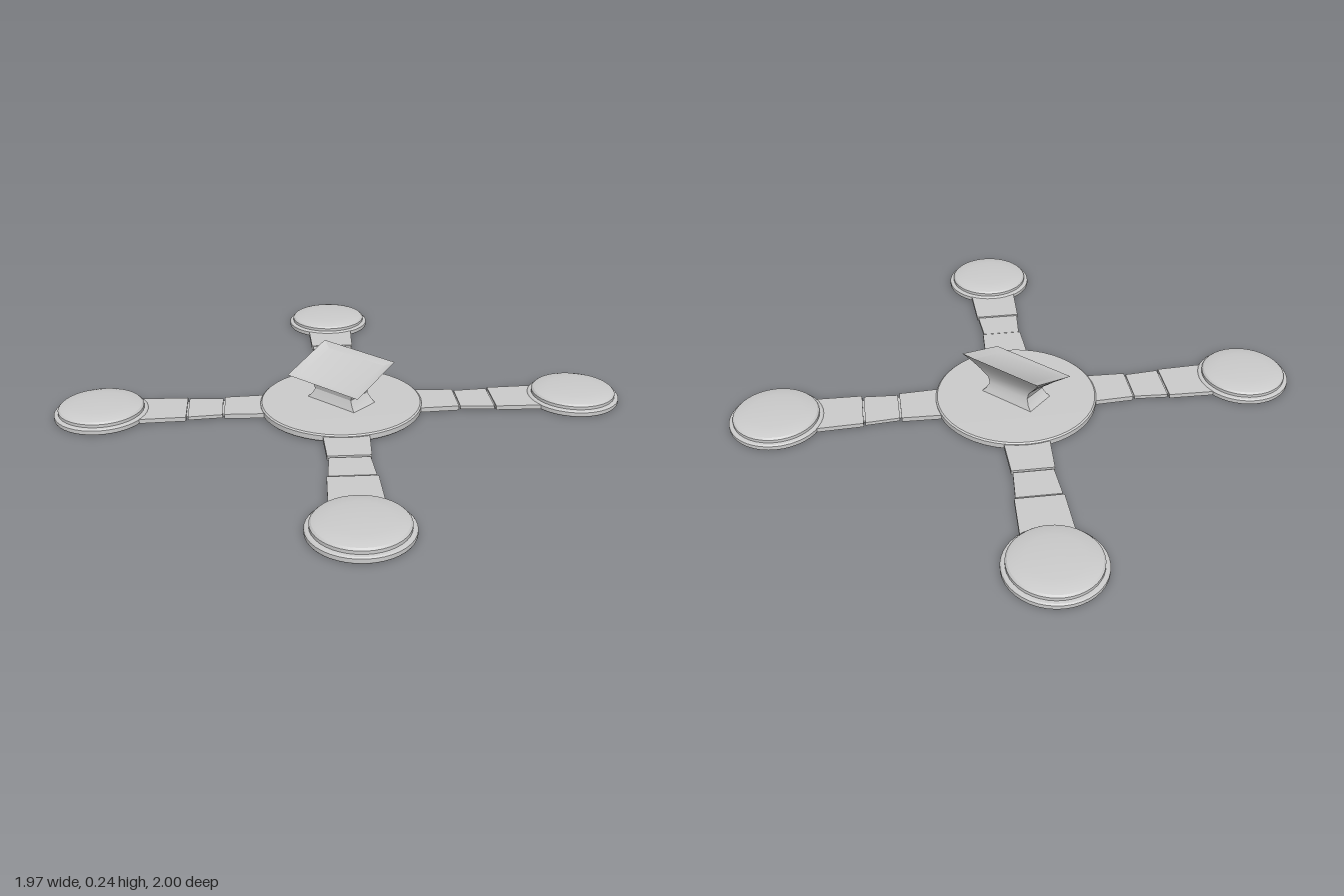
import * as THREE from 'three';
import { toCreasedNormals } from 'three/addons/utils/BufferGeometryUtils.js';

const material = new THREE.MeshStandardMaterial({ color: 0xcccccc });

function mesh(name, geometry) {
  const m = new THREE.Mesh(toCreasedNormals(geometry, 0.5), material);
  m.name = name;
  return m;
}

const lathe = (points, sides) =>
  new THREE.LatheGeometry(points.map(([r, y]) => new THREE.Vector2(r, y)), sides);

// Flat arm link along +x: plan tapers from width w0 to w1
function link(name, x0, x1, w0, w1, y0, y1) {
  const plan = new THREE.Shape([
    new THREE.Vector2(x0, -w0 / 2), new THREE.Vector2(x1, -w1 / 2),
    new THREE.Vector2(x1, w1 / 2), new THREE.Vector2(x0, w0 / 2),
  ]);
  const g = new THREE.ExtrudeGeometry(plan, { depth: y1 - y0, bevelEnabled: false });
  g.rotateX(-Math.PI / 2).translate(0, y0, 0);
  return mesh(name, g);
}

// Loft of rectangular sections [halfWidth, frontZ, frontY, backZ, backY], closed at both ends
function loft(sections) {
  const pos = [], index = [];
  for (const [hx, zf, yf, zb, yb] of sections)
    pos.push(-hx, yf, zf, hx, yf, zf, hx, yb, zb, -hx, yb, zb);
  for (let s = 0; s < sections.length - 1; s++)
    for (let k = 0; k < 4; k++) {
      const a = s * 4 + k, b = s * 4 + (k + 1) % 4;
      index.push(a, b, b + 4, a, b + 4, a + 4);
    }
  const t = (sections.length - 1) * 4;
  index.push(t, t + 1, t + 2, t, t + 2, t + 3, 0, 2, 1, 0, 3, 2);
  const g = new THREE.BufferGeometry();
  g.setAttribute('position', new THREE.Float32BufferAttribute(pos, 3));
  g.setIndex(index);
  return g;
}

export function createModel() {
  const model = new THREE.Group();
  model.name = 'fourArmedStand';

  // Central disc
  model.add(mesh('hubDisc', lathe(
    [[0, 0], [0.37, 0], [0.375, 0.005], [0.375, 0.028], [0.368, 0.034], [0, 0.036]], 48)));

  // Flared pedestal with a tilted, shallow tray on top
  model.add(mesh('tiltedCradle', loft([
    [0.145, 0.076, 0.03, -0.08, 0.03],
    [0.122, 0.066, 0.055, -0.07, 0.055],
    [0.108, 0.058, 0.08, -0.06, 0.085],
    [0.116, 0.062, 0.1, -0.06, 0.115],
    [0.15, 0.085, 0.122, -0.075, 0.155],
    [0.185, 0.112, 0.133, -0.097, 0.198],
    [0.212, 0.135, 0.143, -0.127, 0.24],
    [0.165, 0.1, 0.143, -0.105, 0.217],
  ])));

  // Four jointed arms, each ending in a domed round pad
  const reach = Math.hypot(0.772, 0.786);
  for (const sx of [-1, 1]) for (const sz of [-1, 1]) {
    const arm = new THREE.Group();
    arm.name = (sz > 0 ? 'front' : 'back') + (sx > 0 ? 'Left' : 'Right') + 'Arm';
    arm.rotation.y = Math.atan2(-sz * 0.786, sx * 0.772);
    arm.add(link('innerLink', 0.3, 0.54, 0.21, 0.19, 0.002, 0.024));
    arm.add(link('middleLink', 0.548, 0.705, 0.178, 0.2, 0.004, 0.02));
    arm.add(link('outerLink', 0.713, 0.96, 0.212, 0.228, 0.002, 0.022));
    const pad = mesh('pad', lathe([
      [0, 0], [0.21, 0], [0.213, 0.005], [0.213, 0.021], [0.207, 0.026], [0.194, 0.028],
      [0.194, 0.042], [0.186, 0.05], [0.165, 0.056], [0.12, 0.061], [0.06, 0.064], [0, 0.065],
    ], 40));
    pad.position.x = reach;
    arm.add(pad);
    // Joint pins bridging the gaps between links
    for (const x of [0.544, 0.709]) {
      const pin = mesh('jointPin', new THREE.BoxGeometry(0.012, 0.008, 0.16));
      pin.position.set(x, 0.01, 0);
      arm.add(pin);
    }
    model.add(arm);
  }
  return model;
}
